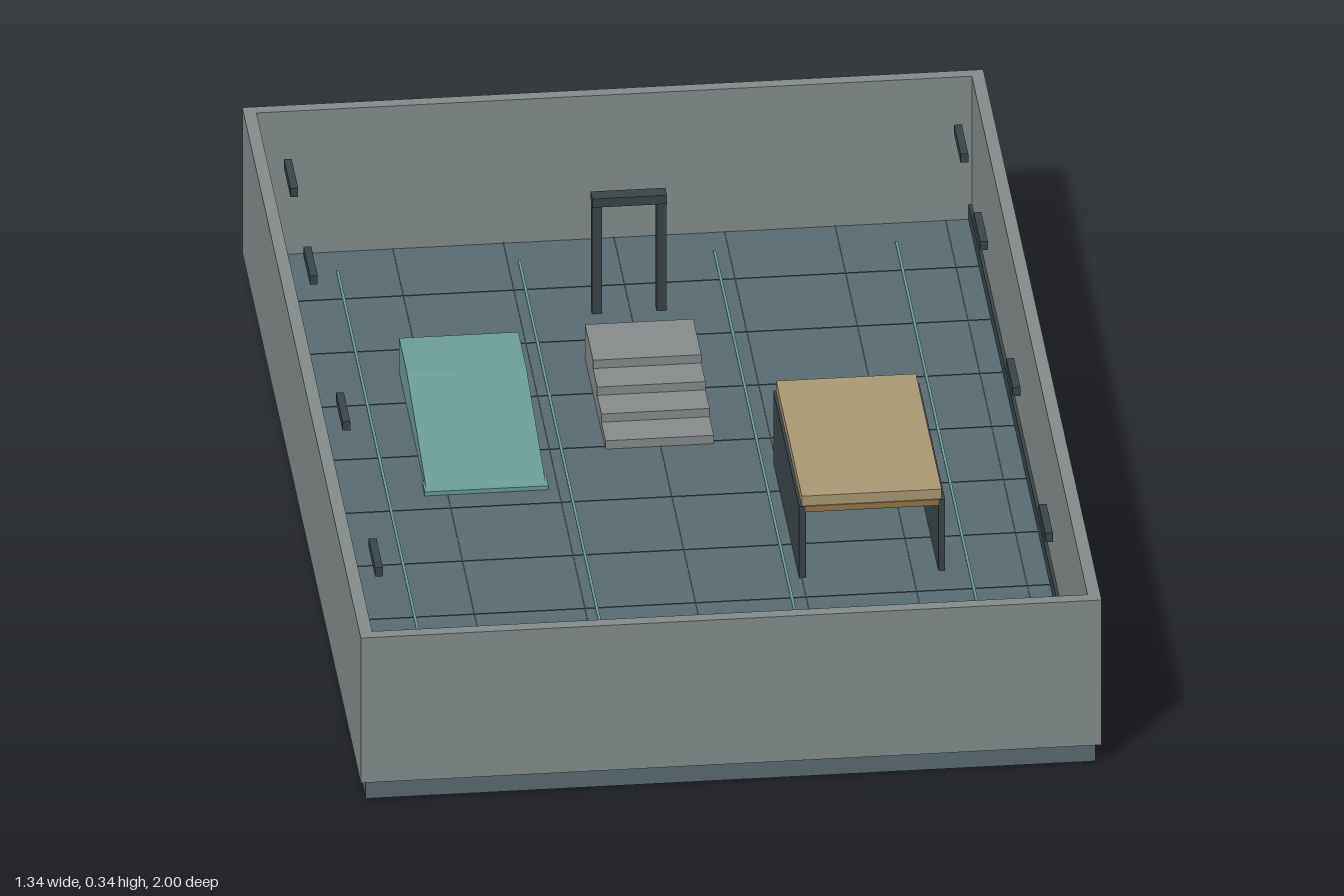
import * as THREE from 'three';

const material = (name, color, side = THREE.FrontSide) => {
  const m = new THREE.MeshStandardMaterial({ color, side });
  m.name = name;
  return m;
};

export function createModel() {
  const model = new THREE.Group();
  model.name = 'trainingArena';

  const wallGrey = material('wall grey', 0x858d8d);
  const floorSlate = material('floor slate', 0x5a6c72);
  const darkMetal = material('dark metal', 0x3a464a);
  const stepGrey = material('step grey', 0x888c8c);
  const rampTeal = material('ramp teal', 0x6c9e98);
  const wood = material('wood', 0xab9974);
  const woodEdge = material('wood edge', 0x94764c);

  // Box from its minimum and maximum corners
  const box = (name, mat, [x0, x1], [y0, y1], [z0, z1], parent = model) => {
    const mesh = new THREE.Mesh(new THREE.BoxGeometry(x1 - x0, y1 - y0, z1 - z0), mat);
    mesh.position.set((x0 + x1) / 2, (y0 + y1) / 2, (z0 + z1) / 2);
    mesh.name = name;
    parent.add(mesh);
    return mesh;
  };
  // Side profile of (z, y) points, extruded along x
  const profile = (name, mat, points, x0, x1) => {
    const shape = new THREE.Shape(points.map(([z, y]) => new THREE.Vector2(-z, y)));
    const geo = new THREE.ExtrudeGeometry(shape, { depth: x1 - x0, bevelEnabled: false });
    geo.rotateY(Math.PI / 2);
    geo.translate(x0, 0, 0);
    const mesh = new THREE.Mesh(geo, mat);
    mesh.name = name;
    model.add(mesh);
  };

  const F = 0.042; // floor height

  // Base slab and the four walls
  box('floorBase', floorSlate, [-0.66, 0.66], [0, F], [-0.99, 0.99]);
  box('frontWall', wallGrey, [-0.67, 0.67], [0.038, 0.335], [0.977, 1]);
  box('backWall', wallGrey, [-0.67, 0.67], [0.038, 0.335], [-1, -0.977]);
  for (const s of [-1, 1]) {
    const span = (a, b) => (s > 0 ? [a, b] : [-b, -a]);
    box('sideWall', wallGrey, span(0.647, 0.67), [0.038, 0.335], [-0.977, 0.977]);
    box('skirting', darkMetal, span(0.641, 0.647), [F, 0.072], [-0.977, 0.977]);
    // Small bars along the side walls
    for (const z of [-0.775, -0.445, 0.105, 0.655]) {
      box('wallBar', darkMetal, span(0.599, 0.613), [0.3, 0.318], [z - 0.055, z + 0.055]);
    }
  }

  // Tile seams and lane lines on the floor
  const seams = new THREE.Group();
  seams.name = 'tileSeams';
  model.add(seams);
  for (let i = -3; i <= 3; i++) {
    box('lengthSeam', darkMetal, [i * 0.2 - 0.001, i * 0.2 + 0.001], [F, F + 0.001], [-0.977, 0.977], seams);
  }
  for (let i = -4; i <= 4; i++) {
    box('crossSeam', darkMetal, [-0.64, 0.64], [F, F + 0.001], [i * 0.2 - 0.001, i * 0.2 + 0.001], seams);
  }
  for (const x of [-0.508, -0.179, 0.174, 0.503]) {
    box('laneLine', rampTeal, [x - 0.0025, x + 0.0025], [F, F + 0.002], [-0.905, 0.9]);
  }

  // Ramp with a flat deck and a wider lip at its foot
  profile('ramp', rampTeal, [[-0.52, F], [-0.06, F], [-0.06, 0.05], [-0.39, 0.11], [-0.52, 0.11]], -0.438, -0.222);
  box('rampLip', rampTeal, [-0.442, -0.218], [F, 0.05], [-0.09, -0.05]);

  // Four steps rising towards the back
  const stepEdges = [-0.19, -0.26, -0.33, -0.4, -0.535];
  const stairs = new THREE.Group();
  stairs.name = 'stairs';
  model.add(stairs);
  for (let i = 0; i < 4; i++) {
    box('step', stepGrey, [-0.1, 0.096], [F, F + 0.017 * (i + 1)], [stepEdges[i + 1], stepEdges[i]], stairs);
  }

  // Tunnel table: wooden top over two solid side panels
  box('tableTop', wood, [0.2, 0.453], [0.188, 0.208], [-0.11, 0.325]);
  box('tableUnderBoard', woodEdge, [0.206, 0.447], [0.176, 0.188], [-0.112, 0.327]);
  for (const x of [0.195, 0.447]) {
    box('tableSide', darkMetal, [x, x + 0.012], [F, 0.188], [-0.11, 0.327]);
  }

  // Doorway frame
  for (const x of [-0.07, 0.047]) {
    box('gatePost', darkMetal, [x, x + 0.018], [F, 0.262], [-0.716, -0.696]);
  }
  box('gateBeam', darkMetal, [-0.07, 0.065], [0.262, 0.28], [-0.72, -0.692]);

  return model;
}
